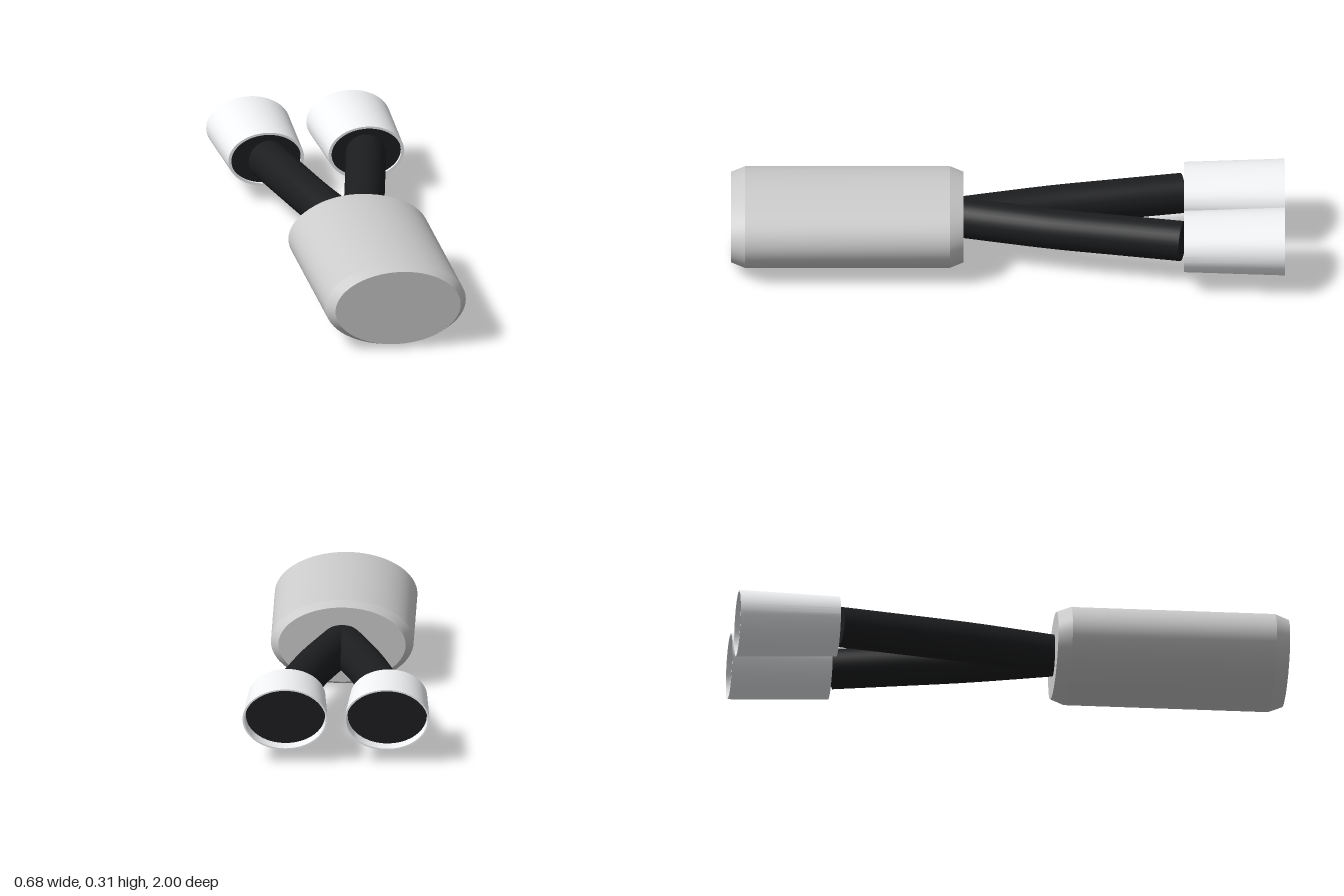
import * as THREE from 'three';
import { toCreasedNormals } from 'three/addons/utils/BufferGeometryUtils.js';

const CENTER_Y = 0.157;
const steel = new THREE.MeshStandardMaterial({ color: 0xcccccc });
const polished = new THREE.MeshStandardMaterial({ color: 0xf0f2f4 });
const black = new THREE.MeshStandardMaterial({ color: 0x1c1d1f });

// Oval turned part along z; profile is [radius in x, z] pairs, flatten scales its height
function ovalPart(name, profile, flatten, material, x = 0) {
  const points = profile.map(([r, z]) => new THREE.Vector2(r, -z));
  const geometry = new THREE.LatheGeometry(points, 64);
  geometry.rotateX(-Math.PI / 2);
  geometry.scale(1, flatten, 1);
  const mesh = new THREE.Mesh(toCreasedNormals(geometry, 0.25), material);
  mesh.name = name;
  mesh.position.set(x, CENTER_Y, 0);
  return mesh;
}

// Bent round pipe with closed rear end
function pipe(side) {
  const group = new THREE.Group();
  group.name = side > 0 ? 'leftPipe' : 'rightPipe';
  const radius = 0.073;
  const curve = new THREE.CatmullRomCurve3([
    [0, 0.18], [0.04, 0.03], [0.09, -0.17], [0.136, -0.4], [0.181, -0.63],
  ].map(([x, z]) => new THREE.Vector3(side * x, CENTER_Y, z)));
  const tube = new THREE.Mesh(new THREE.TubeGeometry(curve, 24, radius, 32), black);
  tube.name = 'pipeTube';
  const cap = new THREE.Mesh(new THREE.CircleGeometry(radius, 32), black);
  cap.name = 'pipeEnd';
  cap.position.copy(curve.getPoint(1));
  cap.lookAt(cap.position.clone().add(curve.getTangent(1)));
  group.add(tube, cap);
  return group;
}

export function createModel() {
  const model = new THREE.Group();
  model.name = 'dualExhaust';

  // Oval silencer body with chamfered ends
  model.add(ovalPart('muffler', [
    [0, 1], [0.23, 1], [0.258, 0.95], [0.258, 0.21], [0.23, 0.16], [0, 0.16],
  ], 0.6, steel));

  for (const side of [1, -1]) {
    const prefix = side > 0 ? 'left' : 'right';
    model.add(pipe(side));

    // Flared hollow tip
    model.add(ovalPart(prefix + 'Tip', [
      [0.128, -0.636], [0.139, -0.636], [0.154, -1], [0.147, -1], [0.128, -0.636],
    ], 0.725, polished, side * 0.184));

    // Dark core set inside the tip
    model.add(ovalPart(prefix + 'TipCore', [
      [0, -0.65], [0.129, -0.65], [0.143, -0.93], [0, -0.93],
    ], 0.725, black, side * 0.184));
  }
  return model;
}
